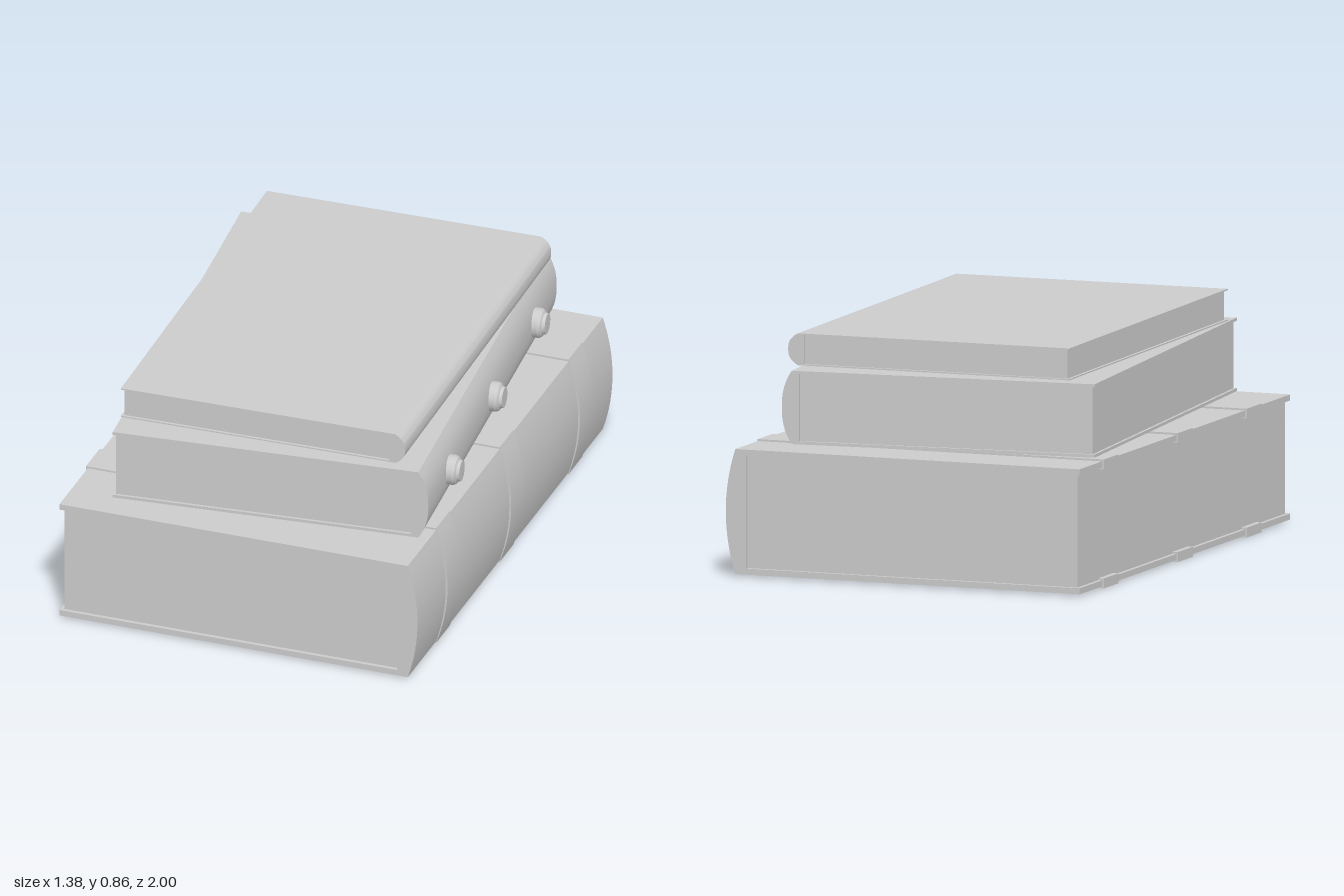
import * as THREE from 'three';
import { toCreasedNormals } from 'three/addons/utils/BufferGeometryUtils.js';

const material = new THREE.MeshStandardMaterial({ color: 0xcccccc });

function part(name, geometry, parent) {
  const mesh = new THREE.Mesh(geometry, material);
  mesh.name = name;
  parent.add(mesh);
  return mesh;
}

// C-shaped section: two boards joined by a rounded spine; "grow" swells it on all sides
function bindingGeometry(b, length, grow = 0) {
  const left = -b.halfWidth - grow;
  const bottom = b.y0 - grow, top = b.y1 + grow;
  const middle = (bottom + top) / 2, half = (top - bottom) / 2;
  const spineStart = b.halfWidth - b.bulge;
  const shape = new THREE.Shape();
  shape.moveTo(left, bottom);
  const steps = 16;
  for (let i = 0; i <= steps; i++) {
    const t = -1 + (2 * i) / steps;
    const out = (b.bulge + grow) * (1 - Math.abs(t) ** b.roundness);
    shape.lineTo(spineStart + out, middle + half * t);
  }
  shape.lineTo(left, top);
  const innerTop = b.y1 - b.board - grow, innerBottom = b.y0 + b.board + grow;
  shape.lineTo(left, innerTop);
  shape.lineTo(b.pageEnd, innerTop);
  shape.lineTo(b.pageEnd, innerBottom);
  shape.lineTo(left, innerBottom);
  shape.closePath();
  const geometry = new THREE.ExtrudeGeometry(shape, { depth: length, bevelEnabled: false });
  geometry.translate(0, 0, -length / 2);
  return toCreasedNormals(geometry, 0.45);
}

// One book: binding plus a slightly recessed page block
function makeBook(name, b) {
  const book = new THREE.Group();
  book.name = name;
  part('cover', bindingGeometry(b, b.halfLength * 2), book);
  const pageLeft = -b.halfWidth + b.inset;
  const pages = part('pages', new THREE.BoxGeometry(
    b.pageEnd - pageLeft, b.y1 - b.y0 - 2 * b.board, 2 * (b.halfLength - b.inset)), book);
  pages.position.set((b.pageEnd + pageLeft) / 2, (b.y0 + b.y1) / 2, 0);
  book.position.set(b.x, 0, 0);
  book.rotation.y = THREE.MathUtils.degToRad(b.turn);
  return book;
}

export function createModel() {
  const model = new THREE.Group();
  model.name = 'bookStack';

  // Thick bottom book with raised bands wrapping the binding
  const large = {
    x: -0.005, turn: 0, halfWidth: 0.685, halfLength: 1, y0: 0.007, y1: 0.46,
    board: 0.022, bulge: 0.037, roundness: 2, pageEnd: 0.607, inset: 0.014,
  };
  const bottomBook = makeBook('bottomBook', large);
  for (const z of [0.64, -0.012, -0.717]) {
    part('spineBand', bindingGeometry(large, 0.14, 0.007), bottomBook).position.z = z;
  }

  // Middle book, turned, with studs along the spine
  const medium = {
    x: -0.01, turn: 5, halfWidth: 0.587, halfLength: 0.863, y0: 0.475, y1: 0.741,
    board: 0.011, bulge: 0.037, roundness: 2.4, pageEnd: 0.522, inset: 0.01,
  };
  const middleBook = makeBook('middleBook', medium);
  const studProfile = [[0, 0], [0.055, 0], [0.055, 0.024], [0.05, 0.034], [0.041, 0.039], [0.038, 0.05], [0, 0.051]]
    .map(([r, h]) => new THREE.Vector2(r, h));
  const studGeometry = toCreasedNormals(new THREE.LatheGeometry(studProfile, 20), 0.45);
  for (const z of [-0.577, 0, 0.573]) {
    const stud = part('spineStud', studGeometry, middleBook);
    stud.rotation.z = -Math.PI / 2;
    stud.position.set(0.582, 0.608, z);
  }

  // Thin top book, turned slightly
  const topBook = makeBook('topBook', {
    x: -0.005, turn: 1.1, halfWidth: 0.54, halfLength: 0.79, y0: 0.745, y1: 0.861,
    board: 0.005, bulge: 0.037, roundness: 2.8, pageEnd: 0.48, inset: 0.01,
  });

  model.add(bottomBook, middleBook, topBook);
  return model;
}
